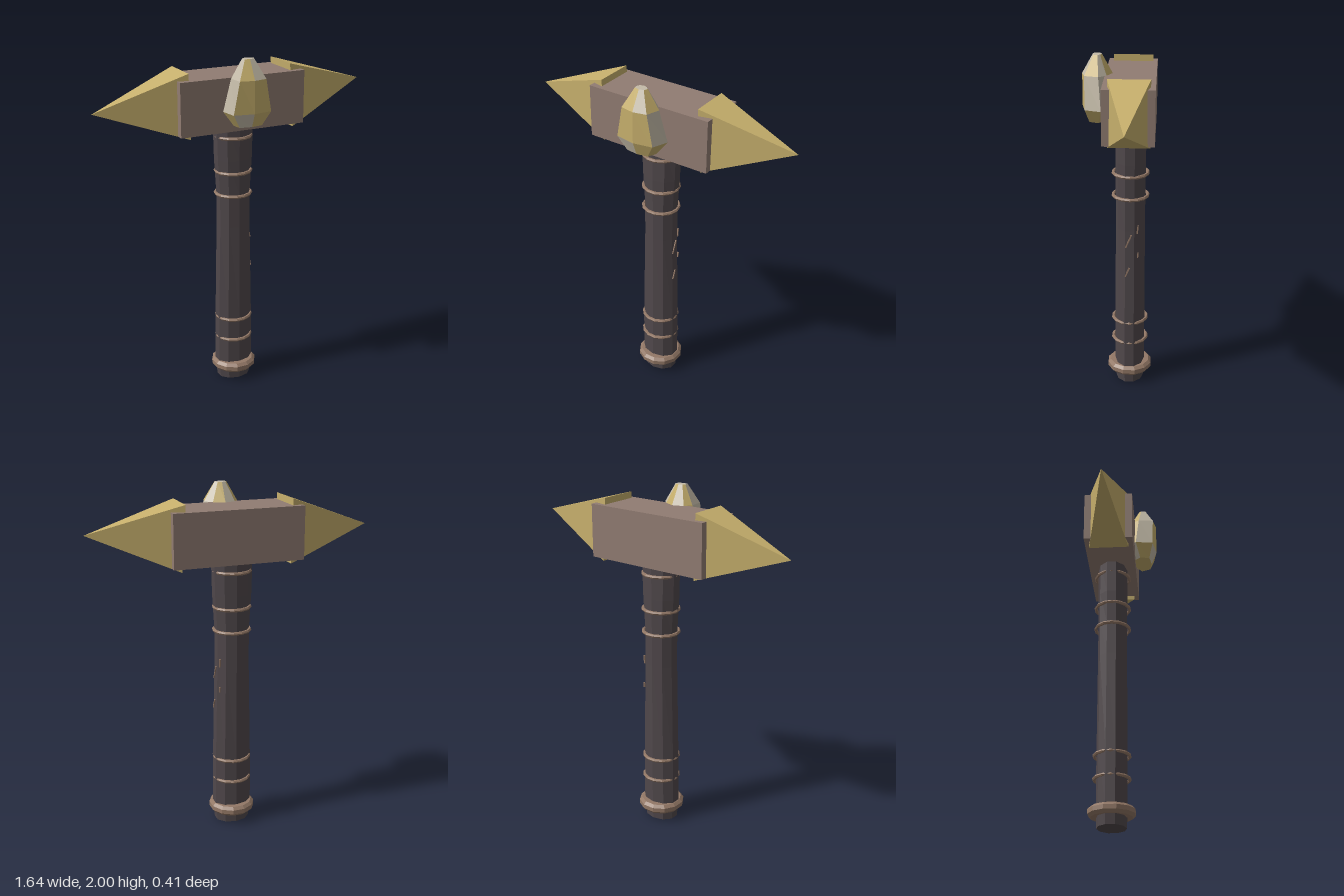
import * as THREE from 'three';
import { ConvexGeometry } from 'three/addons/geometries/ConvexGeometry.js';

const CZ = -0.065; // depth of the handle axis
const flat = (name, color) => {
  const m = new THREE.MeshStandardMaterial({ color, flatShading: true });
  m.name = name;
  return m;
};

// Joins rings of points (ordered from +x towards +z) into facets; pick(tier, side) chooses a bucket
function facets(rings, pick, buckets) {
  const n = rings[0].length;
  const centre = (r) => r.reduce((s, p) => s.add(p), new THREE.Vector3()).divideScalar(n);
  const add = (b, ...pts) => pts.forEach((p) => buckets[b].push(p.x, p.y, p.z));
  for (let j = 0; j < rings.length - 1; j++) {
    for (let i = 0; i < n; i++) {
      const k = (i + 1) % n;
      const [a, b, c, d] = [rings[j][i], rings[j][k], rings[j + 1][k], rings[j + 1][i]];
      add(pick(j, i), a, d, c, a, c, b);
    }
  }
  const last = rings[rings.length - 1];
  const lo = centre(rings[0]), hi = centre(last);
  for (let i = 0; i < n; i++) {
    const k = (i + 1) % n;
    add(pick(-1, i), lo, rings[0][i], rings[0][k]);
    add(pick(rings.length - 1, i), hi, last[k], last[i]);
  }
}

function toGeometry(positions) {
  const g = new THREE.BufferGeometry();
  g.setAttribute('position', new THREE.Float32BufferAttribute(positions, 3));
  g.computeVertexNormals();
  return g;
}

// Solid from elliptical rings [y, rx, rz]
function loft(profile, sides, turn) {
  const rings = profile.map(([y, rx, rz]) => Array.from({ length: sides }, (_, i) => {
    const a = ((i + turn) / sides) * Math.PI * 2;
    return new THREE.Vector3(Math.cos(a) * rx, y, CZ + Math.sin(a) * rz);
  }));
  const out = [[]];
  facets(rings, () => 0, out);
  return toGeometry(out[0]);
}

export function createModel() {
  const group = new THREE.Group();
  const wood = flat('dark wood', 0x50484b);
  const block = flat('brown stone', 0x917c72);
  const cord = flat('tan cord', 0x937866);
  const gold = flat('gold', 0xc6af6c);
  const pale = flat('pale crystal', 0xc4bba8);

  const add = (name, geometry, material) => {
    const m = new THREE.Mesh(geometry, material);
    m.name = name;
    group.add(m);
    return m;
  };

  // Handle, slightly waisted
  add('handle', loft([
    [0, 0.103, 0.083], [0.12, 0.115, 0.087], [0.4, 0.113, 0.087], [1.0, 0.1, 0.085],
    [1.2, 0.1, 0.085], [1.4, 0.113, 0.087], [1.62, 0.119, 0.087],
  ], 10, 0.5), wood);

  // Collar near the foot
  add('collar', loft([
    [0.058, 0.118, 0.118], [0.075, 0.134, 0.134], [0.1, 0.134, 0.134], [0.116, 0.118, 0.118],
  ], 12, 0.5), cord);

  // Cord bindings
  [0.273, 0.407, 1.193, 1.328, 1.535].forEach((y) => {
    const binding = add('binding', new THREE.TorusGeometry(0.1, 0.01, 6, 14), cord);
    binding.rotation.x = Math.PI / 2;
    binding.scale.x = 1.03;
    binding.position.set(0, y, CZ);
  });

  // Scratches on the left side of the handle: y, z, length, surface x
  [[0.94, -0.058, 0.085, 0.098], [0.745, -0.052, 0.06, 0.102],
    [1.01, -0.11, 0.05, 0.087], [0.85, -0.112, 0.03, 0.089]].forEach(([y, z, len, x]) => {
    const s = add('scratch', new THREE.BoxGeometry(0.008, len, 0.008), cord);
    s.position.set(x, y, z);
    s.rotation.x = z > -0.1 ? -0.4 : -0.1;
  });

  // Hammer head
  add('headBlock', new THREE.BoxGeometry(0.75, 0.3, 0.28), block).position.set(0, 1.745, CZ);

  // Side spikes: apex x, apex y, base x at top and bottom
  [['leftSpike', 0.82, 1.785, 0.298, 0.322], ['rightSpike', -0.82, 1.745, -0.314, -0.308]]
    .forEach(([name, ax, ay, top, bottom]) => {
      const pts = [new THREE.Vector3(ax, ay, CZ)];
      for (const z of [0.048, -0.18]) {
        pts.push(new THREE.Vector3(top, 1.933, z), new THREE.Vector3(bottom, 1.572, z));
      }
      add(name, new ConvexGeometry(pts), gold);
    });

  // Faceted crystal on the front
  const outline = [[0.145, -0.02], [0.11, 0.07], [0, 0.09], [-0.115, 0.07],
    [-0.13, -0.03], [-0.09, -0.08], [0, -0.105], [0.09, -0.07]];
  const tiers = [[1.637, 0.6, 0.55, 0.122], [1.715, 1, 1, 0.112], [1.895, 0.7, 0.86, 0.125], [2, 0.25, 0.26, 0.12]];
  const rings = tiers.map(([y, sx, sz, cz]) =>
    outline.map(([x, z]) => new THREE.Vector3(x * sx, y, cz + z * sz)));
  const pattern = ['GGPGPGPG', 'PGGPGPGP', 'GPGPGPGP'];
  const buckets = { G: [], P: [] };
  facets(rings, (j, i) => (j < 0 ? 'G' : j > 2 ? 'P' : pattern[j][i]), buckets);
  add('crystalGoldFacets', toGeometry(buckets.G), gold);
  add('crystalPaleFacets', toGeometry(buckets.P), pale);

  return group;
}
